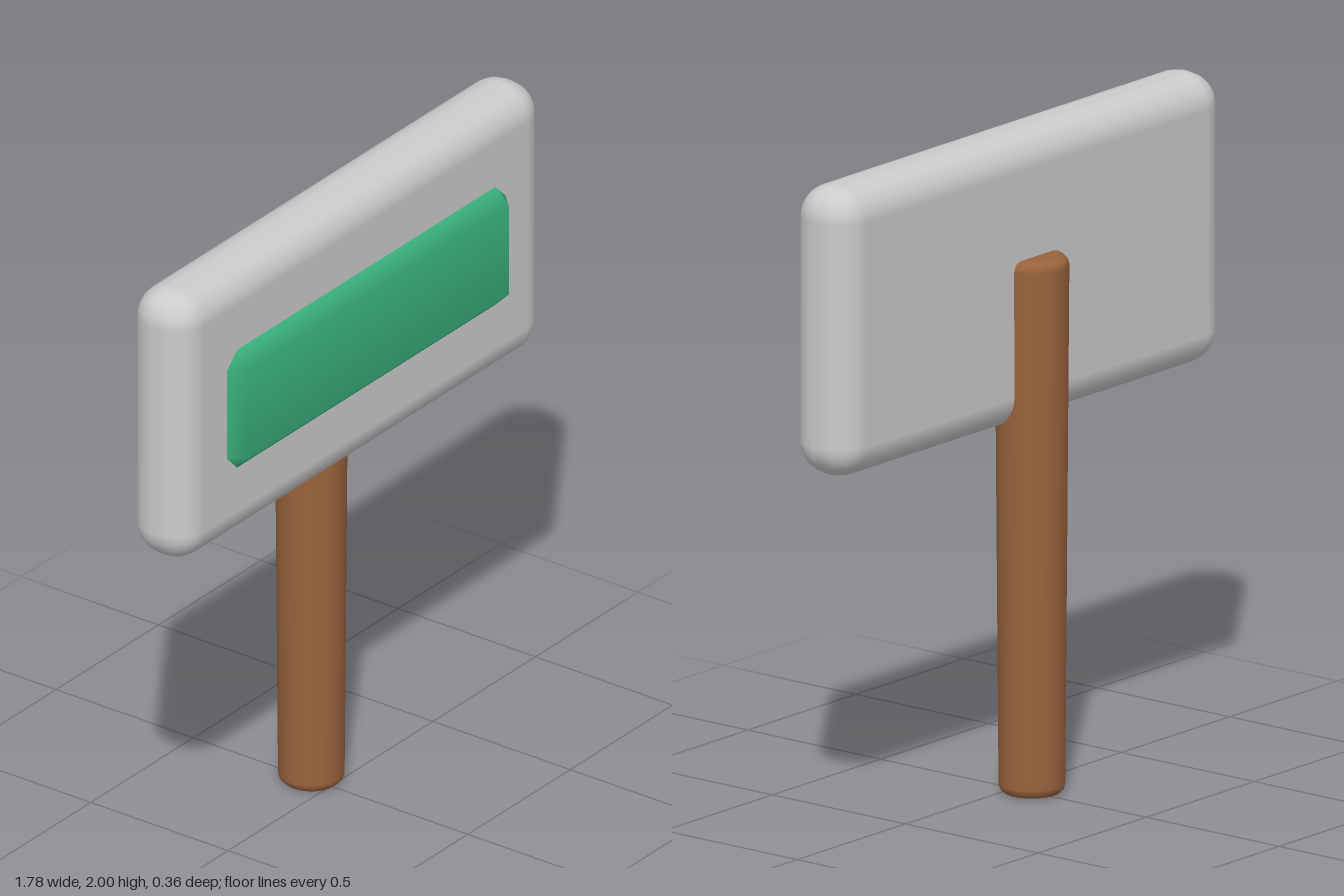
import * as THREE from 'three';
import { RoundedBoxGeometry } from 'three/addons/geometries/RoundedBoxGeometry.js';
import { ConvexGeometry } from 'three/addons/geometries/ConvexGeometry.js';
import { mergeVertices } from 'three/addons/utils/BufferGeometryUtils.js';

// Box with every edge cut by one chamfer, smoothly shaded
function chamferBox(w, h, d, c) {
  const half = [w / 2, h / 2, d / 2];
  const points = [];
  for (const sx of [-1, 1]) for (const sy of [-1, 1]) for (const sz of [-1, 1]) {
    const signs = [sx, sy, sz];
    for (let axis = 0; axis < 3; axis++) {
      points.push(new THREE.Vector3(...signs.map((s, i) => s * (half[i] - (i === axis ? 0 : c)))));
    }
  }
  const geometry = new ConvexGeometry(points);
  geometry.deleteAttribute('normal');
  const smooth = mergeVertices(geometry, 1e-4);
  smooth.computeVertexNormals();
  return smooth;
}

// Tapered round post with softened ends
function postGeometry(bottomRadius, topRadius, height, soft) {
  const profile = [new THREE.Vector2(0, 0)];
  const steps = 3;
  for (let i = 0; i <= steps; i++) {
    const a = (i / steps) * Math.PI / 2;
    profile.push(new THREE.Vector2(bottomRadius - soft + soft * Math.sin(a), soft - soft * Math.cos(a)));
  }
  for (let i = 0; i <= steps; i++) {
    const a = (i / steps) * Math.PI / 2;
    profile.push(new THREE.Vector2(topRadius - soft + soft * Math.cos(a), height - soft + soft * Math.sin(a)));
  }
  profile.push(new THREE.Vector2(0, height));
  return new THREE.LatheGeometry(profile, 24);
}

export function createModel() {
  const group = new THREE.Group();
  group.name = 'signpost';

  const add = (name, geometry, color, x, y, z) => {
    const mesh = new THREE.Mesh(geometry, new THREE.MeshStandardMaterial({ color }));
    mesh.name = name;
    mesh.position.set(x, y, z);
    group.add(mesh);
  };

  // Wooden post behind the board
  add('post', postGeometry(0.098, 0.11, 1.63, 0.03), 0x99633c, 0, 0, -0.07);

  // Thick rounded board
  add('board', new RoundedBoxGeometry(1.78, 0.88, 0.22, 3, 0.1), 0xcccccc, 0, 1.56, 0.02);

  // Raised chamfered panel on the front, half sunk into the board
  add('panel', chamferBox(1.36, 0.39, 0.12, 0.05), 0x3ab27e, 0, 1.56, 0.12);

  return group;
}
